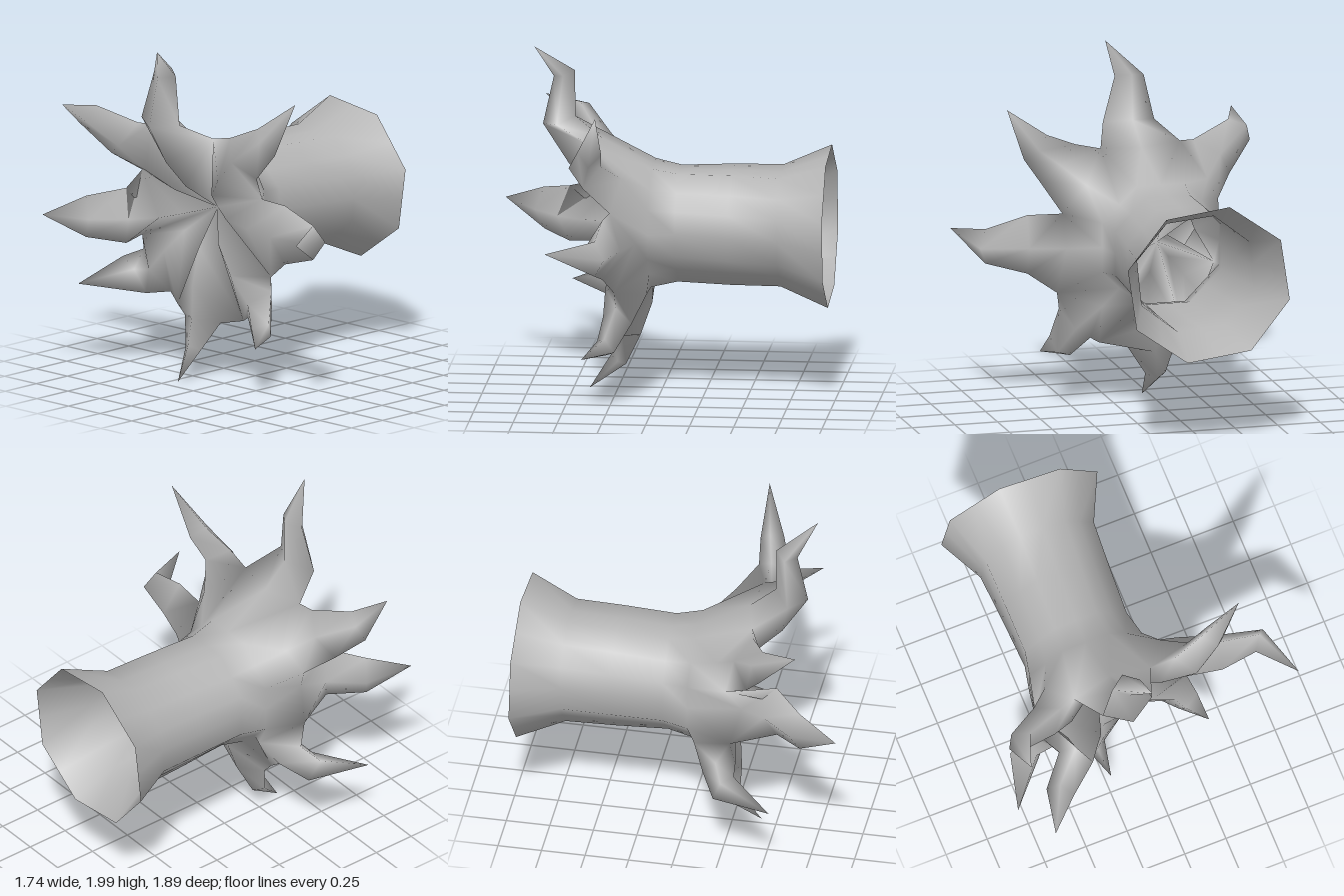
import * as THREE from 'three';

// Trunk rings: z, corner radius across, corner radius up, twist
const TRUNK = [
  [-0.95, 0.49, 0.46, -0.14],
  [-0.68, 0.36, 0.345, -0.1],
  [-0.4, 0.345, 0.345, -0.05],
  [-0.1, 0.335, 0.335, 0],
  [0.05, 0.37, 0.37, 0],
];
const HOLLOW = new THREE.Vector3(-0.21, 0.97, 0.09);

// Roots counterclockwise around the trunk. knees: x, y, z, half width.
// valley: low point before the next root.
const ROOTS = [
  { knees: [[0.5, 0.96, 0.27, 0.17], [0.74, 0.96, 0.29, 0.1]], tip: [0.87, 1.01, 0.56], valley: [0.3, 1.13, 0.25] },
  { knees: [[0.29, 1.39, 0.39, 0.145], [0.43, 1.5, 0.35, 0.095]], tip: [0.61, 1.74, 0.3], valley: [0.04, 1.46, 0.38] },
  { knees: [[-0.18, 1.56, 0.58, 0.15], [-0.175, 1.83, 0.55, 0.085]], tip: [-0.08, 2, 0.71], valley: [-0.43, 1.47, 0.4] },
  { knees: [[-0.62, 1.36, 0.42, 0.15], [-0.81, 1.48, 0.52, 0.09]], tip: [-0.82, 1.57, 0.72], valley: [-0.62, 1.15, 0.28] },
  { knees: [[-0.48, 0.955, 0.55, 0.16], [-0.64, 0.95, 0.71, 0.12]], tip: [-0.76, 0.98, 0.94], valley: [-0.6, 0.78, 0.3] },
  { knees: [[-0.55, 0.57, 0.23, 0.15], [-0.68, 0.53, 0.28, 0.13]], tip: [-0.84, 0.5, 0.57], valley: [-0.4, 0.4, 0.22] },
  { knees: [[-0.21, 0.34, 0.21, 0.14], [-0.245, 0.17, 0.25, 0.06]], tip: [-0.21, 0.01, 0.41], valley: [0.1, 0.38, 0.2] },
  { knees: [[0.24, 0.5, 0.21, 0.13], [0.31, 0.36, 0.27, 0.085]], tip: [0.39, 0.3, 0.4], valley: [0.34, 0.68, 0.22] },
];

const vec = ([x, y, z]) => new THREE.Vector3(x, y, z);

function buildStump() {
  const points = [], index = [];
  const add = (v) => {
    points.push(v.x, v.y, v.z);
    return points.length / 3 - 1;
  };
  const quad = (a, b, c, d) => index.push(a, b, c, a, c, d);
  const count = ROOTS.length, sides = count * 2;

  // Octagonal trunk, with a point in the middle of each flat to carry a root
  const rings = TRUNK.map(([z, w, h, twist]) => Array.from({ length: sides }, (_, k) => {
    const a = (k / sides) * Math.PI * 2 + twist;
    const r = k % 2 ? 1 : Math.cos(Math.PI / count);
    return add(new THREE.Vector3(-0.22 + w * r * Math.cos(a), 0.968 + h * r * Math.sin(a), z));
  }));

  const valleys = ROOTS.map((root) => add(vec(root.valley)));
  const hollow = add(HOLLOW);
  const collar = [];

  ROOTS.forEach(({ knees, tip }, j) => {
    const angle = (j / count) * Math.PI * 2;
    const side = new THREE.Vector3(-Math.sin(angle), Math.cos(angle), 0);
    const base = HOLLOW.clone().lerp(vec(knees[0]), 0.7);
    const path = [base, ...knees.map(vec), vec(tip)];
    const before = valleys[(j + count - 1) % count], after = valleys[j];

    // Corner of the diamond section at step i of the root
    const corner = (i, w, h) => {
      const along = path[i + 1].clone().sub(path[Math.max(i - 1, 0)]);
      const depth = along.cross(side).normalize();
      return path[i].clone().addScaledVector(side, w).addScaledVector(depth, h);
    };
    const crest = corner(0, 0, 0.12);
    const loops = [[before, add(crest), after, add(corner(0, 0, -0.12))]];
    knees.forEach(([, , , w], n) => {
      const h = 0.02 + 0.5 * w;
      loops.push([[-w, 0], [0, h], [w, 0], [0, -h]].map(([u, v]) => add(corner(n + 1, u, v))));
    });

    // Skin between sections, then the point
    const end = add(vec(tip));
    loops.forEach((loop, i) => {
      const next = loops[i + 1];
      for (let k = 0; k < 4; k++) {
        const m = (k + 1) % 4;
        if (next) quad(loop[k], next[k], next[m], loop[m]);
        else index.push(loop[k], end, loop[m]);
      }
    });

    // Front hollow, with a rounded ridge running in along each root
    const ridge = HOLLOW.clone().lerp(crest, 0.5);
    ridge.z += 0.05;
    const mid = add(ridge);
    index.push(hollow, before, mid, hollow, mid, after);
    index.push(mid, before, loops[0][1], mid, loops[0][1], after);
    collar.push(loops[0][3], after);
  });

  // Trunk skin, joined to the backs of the roots
  rings.push(collar);
  for (let i = 0; i < rings.length - 1; i++) {
    for (let k = 0; k < sides; k++) {
      const m = (k + 1) % sides;
      quad(rings[i][k], rings[i][m], rings[i + 1][m], rings[i + 1][k]);
    }
  }

  const geometry = new THREE.BufferGeometry();
  geometry.setAttribute('position', new THREE.Float32BufferAttribute(points, 3));
  geometry.setIndex(index);
  geometry.computeVertexNormals();
  return geometry;
}

export function createModel() {
  // The trunk is open at the back, so its inside shows
  const bark = new THREE.MeshStandardMaterial({ color: 0xb4b4b4, side: THREE.DoubleSide });
  bark.name = 'grey bark';
  const stump = new THREE.Mesh(buildStump(), bark);
  stump.name = 'trunkWithRoots';
  const group = new THREE.Group();
  group.name = 'treeStump';
  group.add(stump);
  return group;
}
